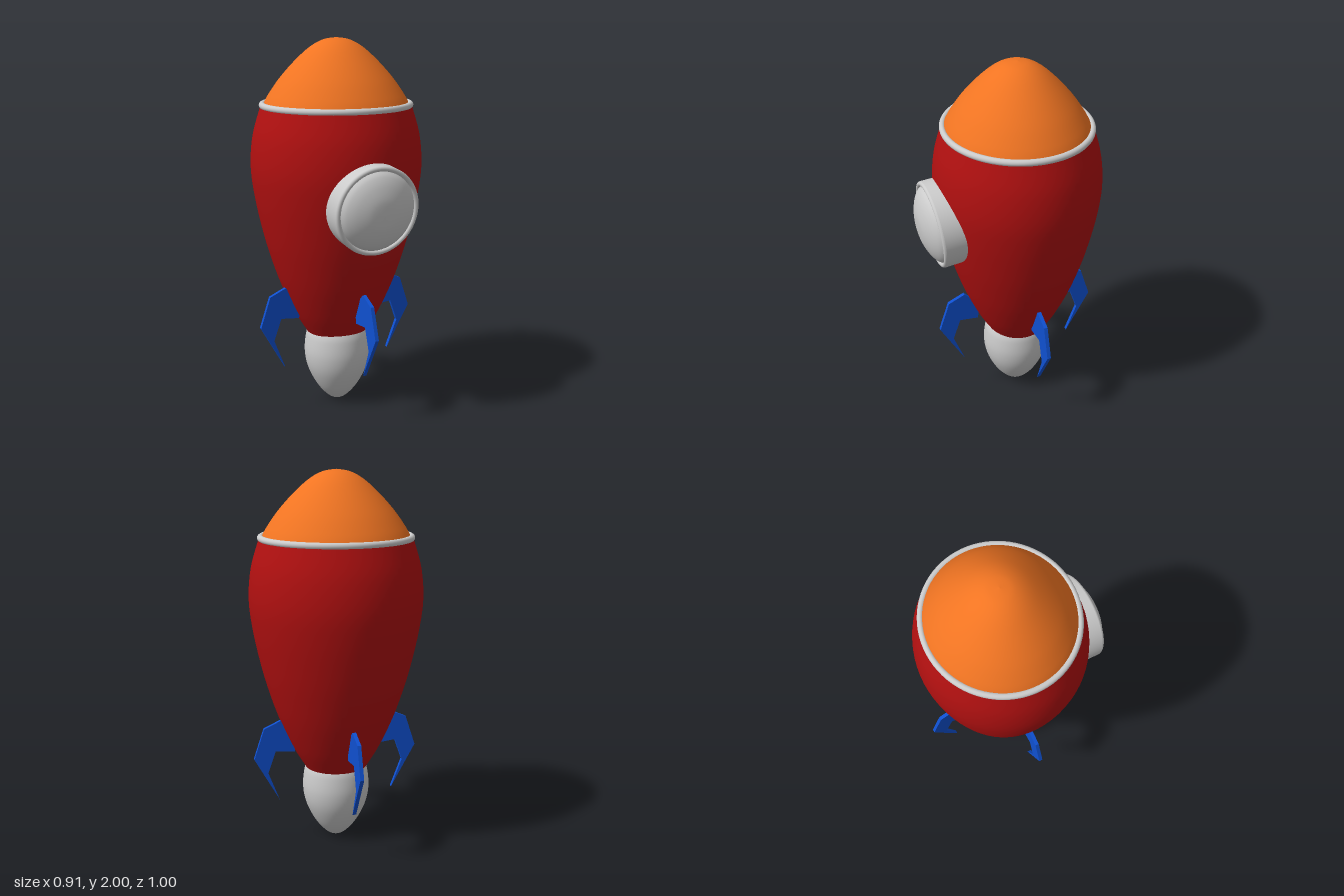
import * as THREE from 'three';

const RED = 0xb01010, ORANGE = 0xf07422, BLUE = 0x0f50d0, GREY = 0xcccccc;
const AXIS_Z = -0.046;   // the hull axis sits behind centre, the porthole in front
const SQUASH = 0.955;    // hull is slightly narrower front to back

const v2 = (p) => p.map(([x, y]) => new THREE.Vector2(x, y));

function part(name, geometry, color) {
  const material = new THREE.MeshStandardMaterial({ color });
  const mesh = new THREE.Mesh(geometry, material);
  mesh.name = name;
  return mesh;
}

// Smooth turned shape from a few profile points, listed bottom to top
function turned(points, samples = 48) {
  const profile = new THREE.SplineCurve(v2(points)).getPoints(samples);
  profile.forEach((p) => { p.x = Math.max(p.x, 0); });
  return new THREE.LatheGeometry(profile, 72);
}

export function createModel() {
  const model = new THREE.Group();
  model.name = 'rocket';

  // Hull, nose cone and the band between them
  const fuselage = new THREE.Group();
  fuselage.name = 'fuselage';
  fuselage.position.z = AXIS_Z;
  fuselage.scale.z = SQUASH;
  model.add(fuselage);

  fuselage.add(part('hull', turned([
    [0.167, 0.415], [0.235, 0.53], [0.307, 0.69], [0.362, 0.85], [0.403, 1.0],
    [0.44, 1.18], [0.457, 1.34], [0.443, 1.5], [0.4, 1.65],
  ]), RED));

  const base = part('hullBase', new THREE.CircleGeometry(0.167, 72).rotateX(Math.PI / 2), RED);
  base.position.y = 0.415;
  fuselage.add(base);

  const deck = part('hullTop', new THREE.CircleGeometry(0.4, 72).rotateX(-Math.PI / 2), RED);
  deck.position.y = 1.65;
  fuselage.add(deck);

  fuselage.add(part('noseCone', turned([
    [0.39, 1.65], [0.36, 1.705], [0.3, 1.79], [0.22, 1.879],
    [0.14, 1.95], [0.07, 1.988], [0, 2],
  ]), ORANGE));

  const band = part('noseBand', new THREE.TorusGeometry(0.391, 0.017, 16, 80).rotateX(Math.PI / 2), GREY);
  band.position.y = 1.655;
  fuselage.add(band);

  // Egg-shaped engine nozzle below the hull
  const nozzle = part('nozzle', turned([
    [0, 0.005], [0.05, 0.025], [0.112, 0.095], [0.162, 0.195],
    [0.18, 0.29], [0.172, 0.385], [0.155, 0.435],
  ]), GREY);
  nozzle.position.z = AXIS_Z + 0.006;
  model.add(nozzle);

  // Porthole, tipped slightly downward to follow the hull
  const porthole = new THREE.Group();
  porthole.name = 'porthole';
  porthole.position.set(0, 1.172, 0.433);
  porthole.rotation.x = Math.PI / 2 + 0.1;
  model.add(porthole);

  const rim = v2([[0, -0.14], [0.23, -0.14], [0.23, -0.14], [0.231, -0.012]]);
  for (let i = 0; i <= 8; i++) {
    const a = (i / 8) * Math.PI;
    rim.push(new THREE.Vector2(0.218 + 0.013 * Math.cos(a), -0.012 + 0.013 * Math.sin(a)));
  }
  porthole.add(part('portholeRim', new THREE.LatheGeometry(rim, 72), GREY));
  porthole.add(part('portholeGlass', turned([
    [0.207, -0.012], [0.185, 0.014], [0.14, 0.04], [0.075, 0.06], [0, 0.066],
  ], 24), GREY));

  // Four claw-shaped fins around the hull
  const outline = new THREE.Shape(v2([
    [0.31, 0.693], [0.4, 0.653], [0.455, 0.487], [0.32, 0.247],
    [0.381, 0.405], [0.339, 0.525], [0.235, 0.514], [0.225, 0.615],
  ]));
  const finGeometry = new THREE.ExtrudeGeometry(outline, { depth: 0.02, bevelEnabled: false });
  finGeometry.translate(0, 0, -0.02);
  const fins = new THREE.Group();
  fins.name = 'fins';
  fins.position.z = AXIS_Z + 0.002;
  for (const [i, side] of ['left', 'back', 'right', 'front'].entries()) {
    const fin = part(side + 'Fin', finGeometry, BLUE);
    fin.rotation.y = (i * Math.PI) / 2;
    fins.add(fin);
  }
  model.add(fins);

  return model;
}
